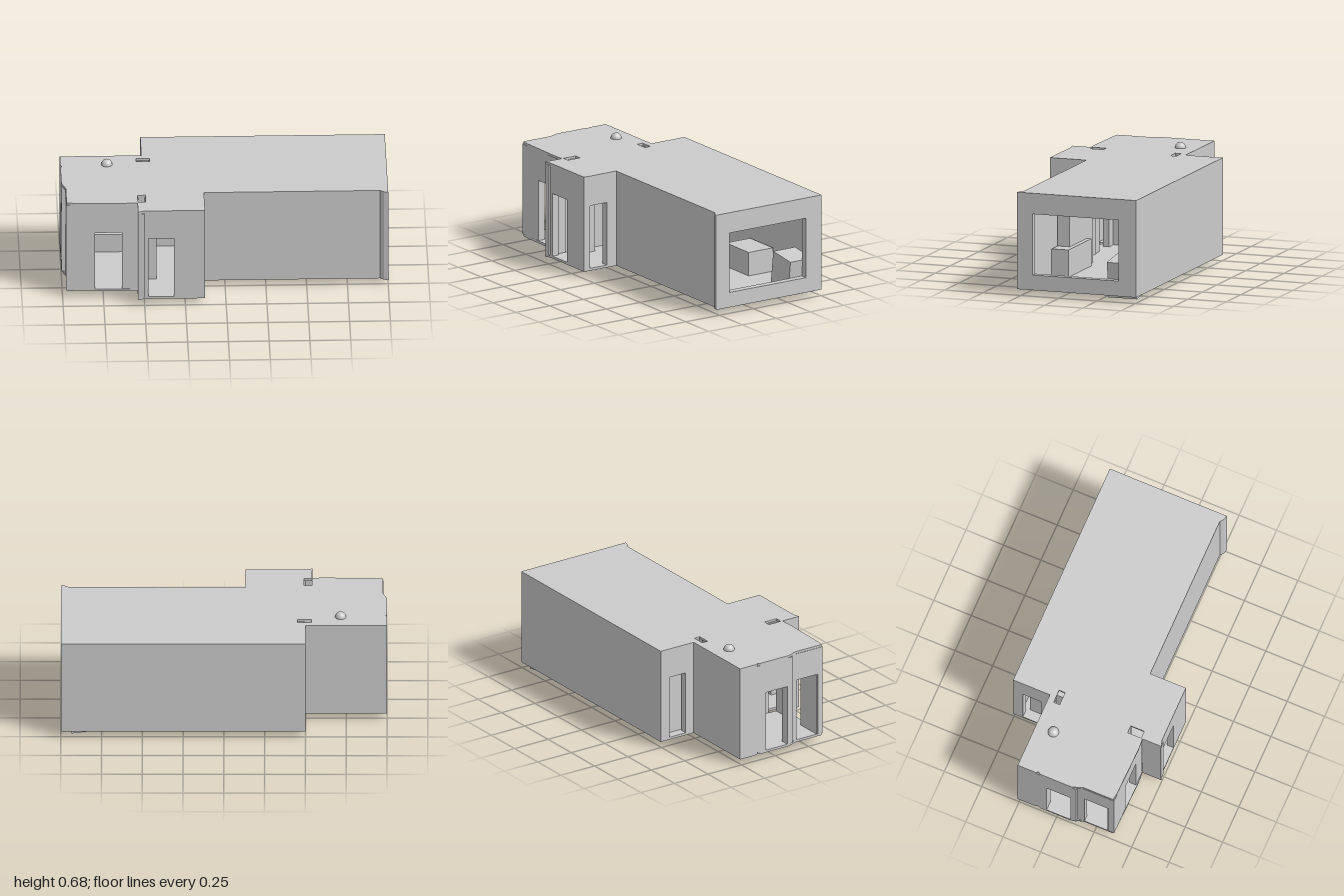
import * as THREE from 'three';

const FLOOR = 0.045, TOP = 0.65, T = 0.045, SLAB = 0.015;

export function createModel() {
  const group = new THREE.Group();
  const mat = new THREE.MeshStandardMaterial({ color: 0xcccccc, flatShading: true, side: THREE.DoubleSide });
  const smooth = new THREE.MeshStandardMaterial({ color: 0xcccccc });

  const add = (name, geo, x = 0, y = 0, z = 0, m = mat, parent = group) => {
    const mesh = new THREE.Mesh(geo, m);
    mesh.name = name;
    mesh.position.set(x, y, z);
    parent.add(mesh);
    return mesh;
  };
  // box given by its lower and upper corners
  const block = (name, x0, y0, z0, x1, y1, z1, parent = group) =>
    add(name, new THREE.BoxGeometry(x1 - x0, y1 - y0, z1 - z0),
      (x0 + x1) / 2, (y0 + y1) / 2, (z0 + z1) / 2, mat, parent);

  // wall along 'x' or 'z', occupying c0..c1 across; openings are [start, end, bottom, top]
  const wall = (name, axis, a, b, c0, c1, openings = []) => {
    const g = new THREE.Group();
    g.name = name;
    group.add(g);
    const lo = FLOOR + SLAB, hi = TOP - SLAB;
    const piece = (part, s, e, y0, y1) => {
      if (e - s < 0.001 || y1 - y0 < 0.001) return;
      if (axis === 'x') block(part, s, y0, c0, e, y1, c1, g);
      else block(part, c0, y0, s, c1, y1, e, g);
    };
    let at = a;
    for (const [s, e, y0, y1] of openings) {
      piece('wallPanel', at, s, lo, hi);
      piece('sill', s, e, lo, y0);
      piece('lintel', s, e, y1, hi);
      at = e;
    }
    piece('wallPanel', at, b, lo, hi);
  };

  // floor and ceiling share one plan with two small shafts
  const plan = new THREE.Shape([
    [-1, -0.26], [-0.5, -0.26], [-0.5, -0.505], [1, -0.505], [1, 0.275], [0.975, 0.27], [0.95, 0.25],
    [-0.13, 0.25], [-0.13, 0.488], [-0.5, 0.488], [-0.54, 0.5], [-0.54, 0.375], [-0.61, 0.38],
    [-0.93, 0.372], [-0.975, 0.365], [-0.975, 0.17], [-1, 0.1], [-1, -0.11], [-0.99, -0.125], [-1, -0.14],
  ].map(([x, z]) => new THREE.Vector2(x, z)));
  for (const [x0, z0, x1, z1] of [[-0.535, -0.22, -0.45, -0.18], [-0.538, 0.275, -0.49, 0.365]]) {
    plan.holes.push(new THREE.Path([[x0, z0], [x0, z1], [x1, z1], [x1, z0]].map(([x, z]) => new THREE.Vector2(x, z))));
  }
  const slab = new THREE.ExtrudeGeometry(plan, { depth: SLAB, bevelEnabled: false }).rotateX(Math.PI / 2);
  add('ceiling', slab, 0, TOP);
  add('floor', slab, 0, FLOOR + SLAB);

  // outer walls
  wall('backWall', 'x', -0.5, 1, -0.505, -0.505 + T);
  wall('windowWall', 'z', -0.505, 0.25, 1 - T, 1, [[-0.39, 0.175, 0.14, 0.52]]);
  wall('frontWall', 'x', -0.13, 1, 0.25 - T, 0.25);
  wall('annexSideWall', 'z', 0.25 - T, 0.488, -0.13 - T, -0.13, [[0.32, 0.47, FLOOR, 0.46]]);
  wall('annexFrontWall', 'x', -0.5, -0.13, 0.488 - T, 0.488, [[-0.475, -0.32, FLOOR, 0.46]]);
  wall('annexCorner', 'z', 0.375, 0.498, -0.54, -0.5);
  wall('sideRoomFrontWall', 'x', -0.975, -0.54, 0.373 - T, 0.373, [[-0.8, -0.635, FLOOR, 0.445]]);
  wall('sideRoomEndWall', 'z', -0.26, 0.13, -1, -1 + T, [[-0.07, 0.095, FLOOR, 0.45]]);
  wall('sideRoomEndBay', 'z', 0.13, 0.37, -0.978, -0.978 + T, [[0.175, 0.335, FLOOR, 0.46]]);
  wall('sideRoomBackWall', 'x', -1, -0.5, -0.26, -0.26 + T);
  wall('stepWall', 'z', -0.505, -0.26, -0.5, -0.5 + T, [[-0.44, -0.32, FLOOR, 0.46]]);

  // inner partitions
  wall('partition', 'z', -0.18, 0.275, -0.535, -0.495, [[-0.07, 0.095, FLOOR, 0.45]]);
  wall('annexPartition', 'x', -0.49, -0.13, 0.21, 0.25, [[-0.42, -0.25, FLOOR, 0.46]]);

  // small pilaster at the front right corner
  const pilaster = new THREE.Shape([[0.95, 0.25], [0.975, 0.27], [1, 0.275], [1, 0.25]]
    .map(([x, z]) => new THREE.Vector2(x, z)));
  add('pilaster', new THREE.ExtrudeGeometry(pilaster, { depth: TOP - FLOOR, bevelEnabled: false }).rotateX(Math.PI / 2), 0, TOP);

  // thin door frames on the end wall
  for (const z of [-0.075, 0.092]) block('doorJamb', -1.0, FLOOR, z, -0.94, 0.45, z + 0.008);
  block('doorHead', -1.0, 0.445, -0.075, -0.94, 0.455, 0.1);

  // ceiling lamp dome showing above the roof
  add('lampDome', new THREE.SphereGeometry(0.034, 24, 16), -0.715, 0.651, -0.145, smooth);

  // furniture
  add('armchair', new THREE.BoxGeometry(0.19, 0.225, 0.185), 0.855, 0.145, -0.392).rotation.z = -0.13;
  add('leaningDrum', new THREE.CylinderGeometry(0.066, 0.066, 0.2, 32), 0.06, 0.125, -0.148).rotation.x = -0.73;
  block('wardrobe', -0.44, FLOOR, -0.42, -0.2, 0.515, -0.19);
  block('cabinet', 0.1, FLOOR, 0.12, 0.5, 0.5, 0.2);
  block('bench', 0.2, FLOOR, 0.09, 0.6, 0.23, 0.2);
  block('sideTable', -0.2, FLOOR, -0.1, -0.1, 0.175, -0.04);
  block('lowShelf', 0.3, FLOOR, -0.45, 0.55, 0.21, -0.27);
  block('hangingPanel', -0.4, 0.455, -0.112, -0.38, TOP - SLAB, -0.088);
  block('counter', -0.82, FLOOR, -0.22, -0.62, 0.18, -0.12);
  // rug slightly sunk through the floor
  add('rug', new THREE.BoxGeometry(0.43, 0.012, 0.11), 0.39, 0.047, 0.16).rotation.x = -0.04;
  return group;
}
